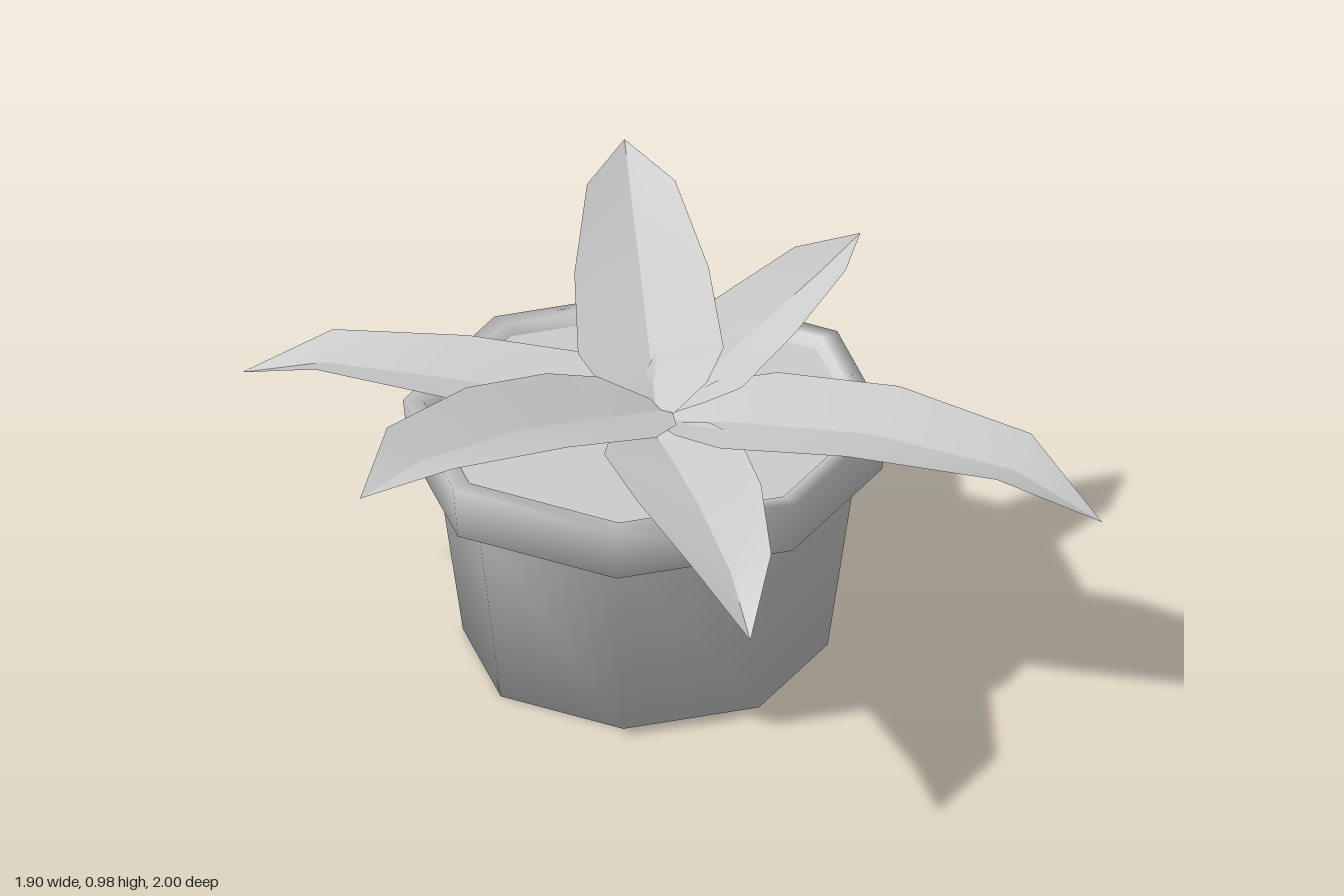
import * as THREE from 'three';

const grey = new THREE.MeshStandardMaterial({ color: 0xcccccc, side: THREE.DoubleSide });

// Shared leaf outline: position along the leaf and half width
const STATIONS = [0, 0.08, 0.2, 0.48, 0.8, 1];
const WIDTHS = [0.04, 0.14, 0.195, 0.18, 0.118, 0];

// One leaf: two smooth halves meeting in a crease along the midrib
function makeLeaf({ name, base, tip, heights, width = 1, lift = 0.04, roll = 0 }) {
  const dx = tip[0] - base[0], dz = tip[1] - base[1];
  const length = Math.hypot(dx, dz);
  const leaf = new THREE.Group();
  leaf.name = name;
  for (const side of [-1, 1]) {
    const points = [], faces = [];
    STATIONS.forEach((t, i) => {
      const x = base[0] + dx * t, z = base[1] + dz * t, y = heights[i];
      const w = side * WIDTHS[i] * width;
      const rise = WIDTHS[i] ? Math.min(1, WIDTHS[i] / 0.118) * (lift + side * roll) : 0;
      points.push(x, y, z);
      points.push(x - (dz / length) * w, y + rise, z + (dx / length) * w);
      if (i > 0) {
        const a = 2 * i - 2, b = a + 1, c = a + 2, d = a + 3;
        if (side > 0) faces.push(a, b, c, b, d, c);
        else faces.push(a, c, b, b, c, d);
      }
    });
    // The last quad closes to a point at the tip
    faces.splice(-3, 3);
    const geometry = new THREE.BufferGeometry();
    geometry.setAttribute('position', new THREE.Float32BufferAttribute(points, 3));
    geometry.setIndex(faces);
    geometry.computeVertexNormals();
    const half = new THREE.Mesh(geometry, grey);
    half.name = side > 0 ? 'leafHalfA' : 'leafHalfB';
    leaf.add(half);
  }
  return leaf;
}

export function createModel() {
  const model = new THREE.Group();
  model.name = 'pottedPlant';

  // Eight-sided pot with a raised rim, slightly narrower front to back
  const pot = new THREE.Group();
  pot.name = 'pot';
  pot.position.set(0.147, 0, -0.152);
  pot.scale.z = 0.965;
  const profile = [
    [0, 0], [0.497, 0], [0.575, 0.55], [0.645, 0.55],
    [0.66, 0.7], [0.605, 0.7], [0.58, 0.655],
  ].map(([r, y]) => new THREE.Vector2(r, y));
  const shell = new THREE.Mesh(new THREE.LatheGeometry(profile, 8), grey);
  shell.name = 'potShell';

  // Soil, filling the rim
  const soil = new THREE.Mesh(new THREE.CircleGeometry(0.59, 8), grey);
  soil.name = 'soil';
  soil.rotation.x = -Math.PI / 2;
  soil.position.y = 0.67;
  pot.add(shell, soil);
  model.add(pot);

  // Six arching leaves spreading from the middle
  const leaves = [
    { name: 'leafLeftSide', base: [0.16, -0.1], tip: [-0.95, -0.01], width: 1.08, roll: 0.01,
      heights: [0.72, 0.745, 0.785, 0.875, 0.925, 0.9] },
    { name: 'leafBackRight', base: [0.13, -0.08], tip: [0.725, -0.95],
      heights: [0.71, 0.73, 0.76, 0.835, 0.91, 0.96] },
    { name: 'leafRightSide', base: [0.16, -0.11], tip: [0.95, -0.23], width: 0.78,
      heights: [0.7, 0.715, 0.735, 0.8, 0.865, 0.915] },
    { name: 'leafBackLeft', base: [0.14, -0.12], tip: [-0.55, -1], width: 0.92,
      heights: [0.7, 0.71, 0.725, 0.745, 0.75, 0.69] },
    { name: 'leafFrontLeft', base: [0.11, -0.08], tip: [-0.34, 0.89], width: 0.95,
      heights: [0.69, 0.7, 0.72, 0.745, 0.735, 0.645] },
    { name: 'leafFrontRight', base: [0.15, -0.09], tip: [0.78, 1], width: 1.1,
      heights: [0.7, 0.715, 0.74, 0.78, 0.755, 0.645] },
  ];
  for (const spec of leaves) model.add(makeLeaf(spec));
  return model;
}
